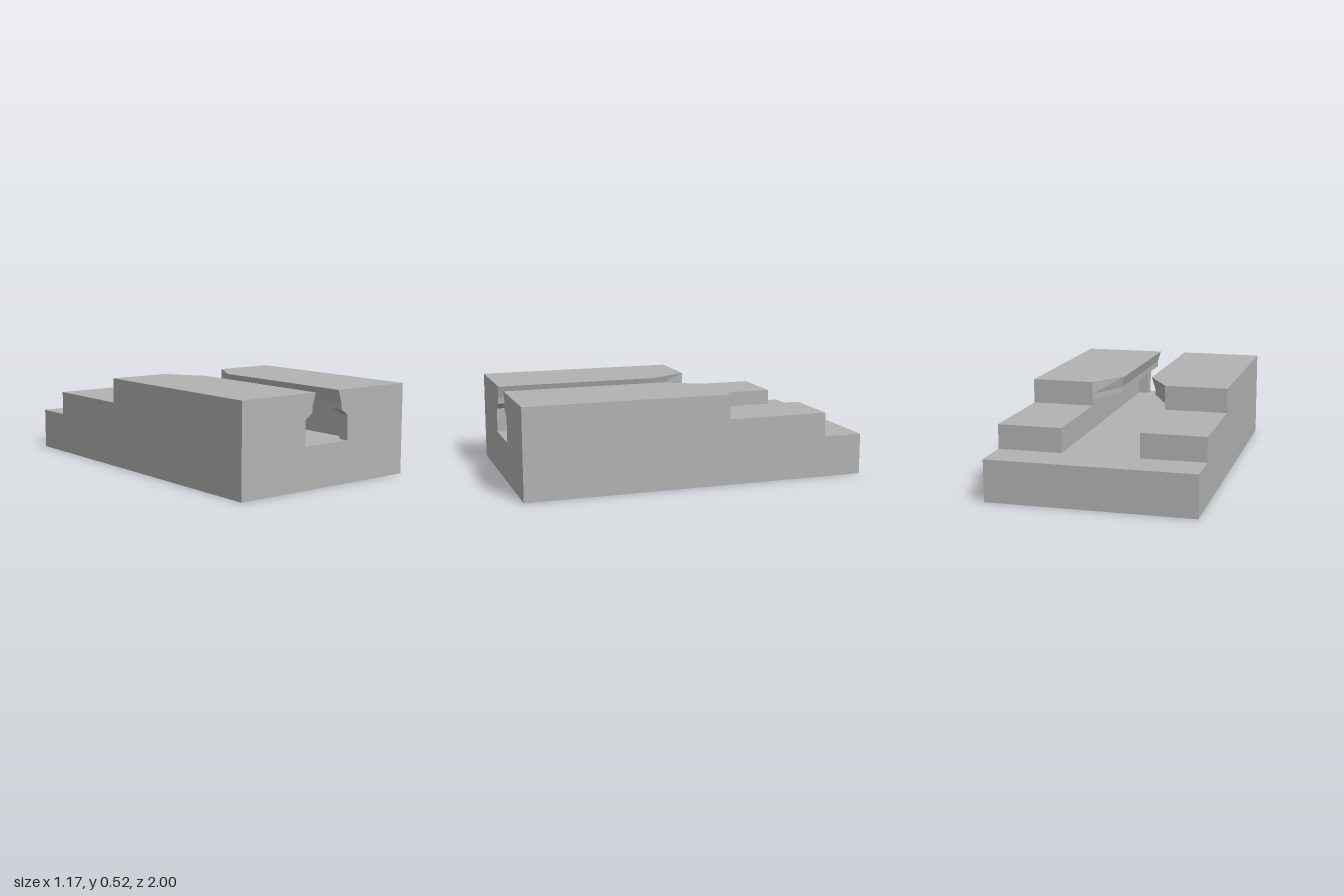
import * as THREE from 'three';

const HALF = 0.586, FLOOR = 0.238, STEP = 0.378, LIP = 0.415, TOP = 0.52;
const WALL = 0.22, BACK = -0.18, STEP_BACK = -0.77, GATE = 0.06;

// Solid from stacked convex rings of [x, z], anticlockwise seen from above
function loft(rings, heights) {
  const pos = [];
  const n = rings[0].length, last = rings.length - 1;
  const put = (...ids) => ids.forEach(([k, i]) => {
    const [x, z] = rings[k][i % n];
    pos.push(x, heights[k], z);
  });
  for (let k = 0; k < last; k++) {
    for (let i = 0; i < n; i++) {
      put([k, i], [k, i + 1], [k + 1, i + 1]);
      put([k, i], [k + 1, i + 1], [k + 1, i]);
    }
  }
  for (let i = 1; i < n - 1; i++) {
    put([last, 0], [last, i], [last, i + 1]);
    put([0, 0], [0, i + 1], [0, i]);
  }
  const geo = new THREE.BufferGeometry();
  geo.setAttribute('position', new THREE.Float32BufferAttribute(pos, 3));
  geo.computeVertexNormals();
  return geo;
}

// Box from its lower and upper corners
function boxBetween(x0, x1, y0, y1, z0, z1) {
  const geo = new THREE.BoxGeometry(Math.abs(x1 - x0), y1 - y0, z1 - z0);
  return geo.translate((x0 + x1) / 2, (y0 + y1) / 2, (z0 + z1) / 2);
}

export function createModel() {
  const model = new THREE.Group();
  model.name = 'slottedBlock';
  const grey = new THREE.MeshStandardMaterial({ color: 0xb2b2b2 });
  grey.name = 'grey';
  const add = (name, geo) => {
    const mesh = new THREE.Mesh(geo, grey);
    mesh.name = name;
    model.add(mesh);
  };

  // Base plate forming the slot floor
  add('base', boxBetween(-HALF, HALF, 0, FLOOR, -1, 1));

  for (const s of [1, -1]) {
    const side = s > 0 ? 'left' : 'right';

    // Low step at the back and the wall beside the wide lower slot
    add(side + 'Step', boxBetween(s * WALL, s * HALF, FLOOR, STEP, STEP_BACK, BACK));
    add(side + 'Wall', boxBetween(s * WALL, s * HALF, FLOOR, LIP, BACK, 1));

    // Overhanging rail with undercut lip and flared rear entry
    const ring = (inner) => {
      const pts = [[inner, 1], [HALF, 1], [HALF, BACK], [WALL, BACK], [inner, 0.055]]
        .map(([x, z]) => [s * x, z]);
      return s > 0 ? pts : pts.reverse();
    };
    add(side + 'Rail', loft([ring(0.105), ring(0.105), ring(0.083)], [LIP, 0.45, TOP]));

    // Thin chamfered stop narrowing the slot at the front
    const profile = [[0.105, LIP], [0.155, STEP], [0.155, FLOOR], [WALL, FLOOR], [WALL, LIP]];
    const shape = new THREE.Shape(profile.map(([x, y]) => new THREE.Vector2(s * x, y)));
    const stop = new THREE.ExtrudeGeometry(shape, { depth: GATE, bevelEnabled: false });
    add(side + 'FrontStop', stop.translate(0, 0, 1 - GATE));
  }
  return model;
}
